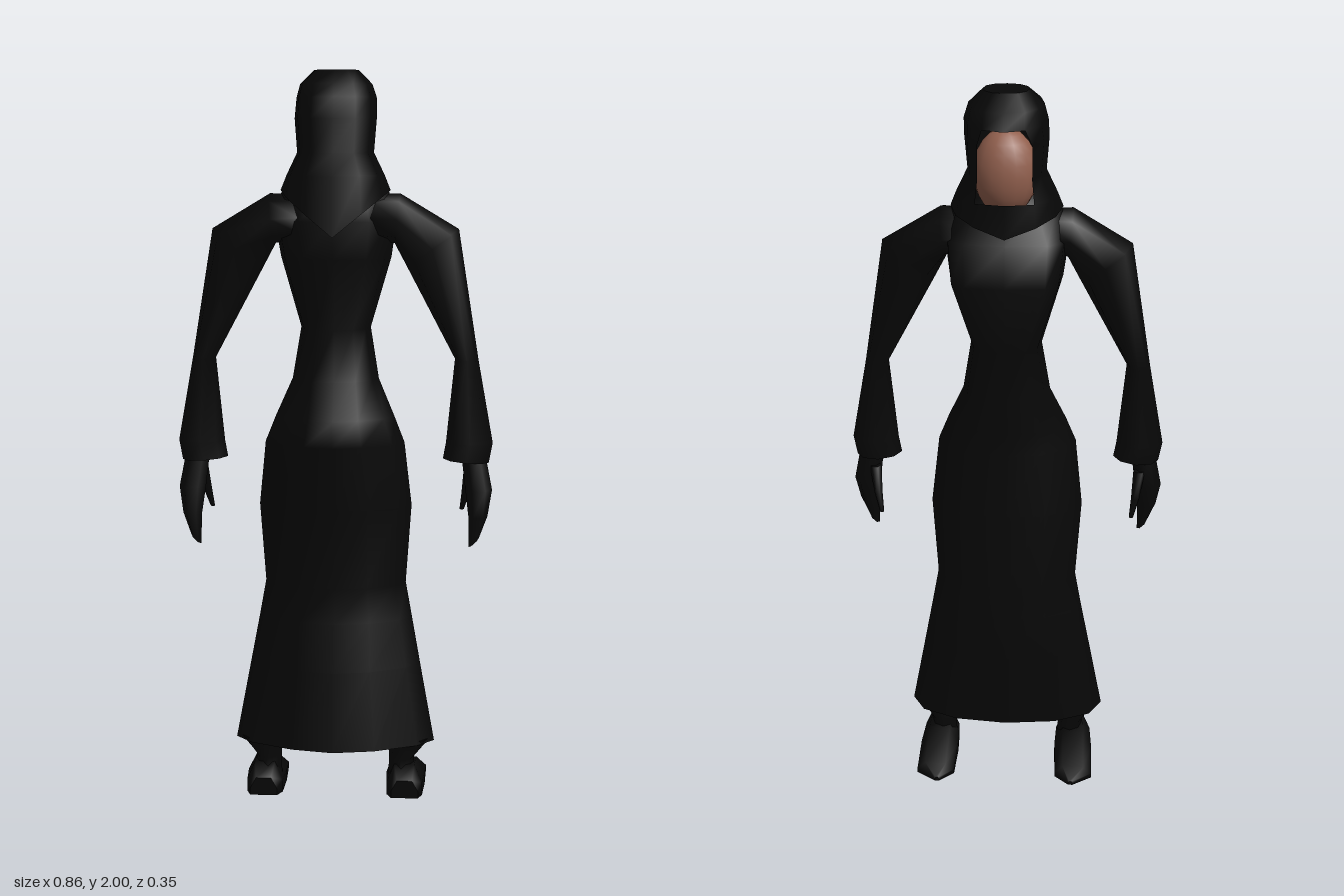
import * as THREE from 'three';

const black = new THREE.MeshStandardMaterial({ color: 0x070707, side: THREE.DoubleSide });
black.name = 'black cloth';
const skin = new THREE.MeshStandardMaterial({ color: 0x92604e });
skin.name = 'skin';

// Loop spanning inner to outer point (x, y) and z0 to z1; a power under 1 is
// boxy, over 1 is pointed, set apart for the rear (+z) and front (-z) halves
function ring(ix, iy, ox, oy, z0, z1, n = 8, rear = 1, front = rear) {
  return Array.from({ length: n }, (_, i) => {
    const a = (i / n) * Math.PI * 2;
    const bulge = (v) => Math.sign(v) * Math.abs(v) ** (i < n / 2 ? rear : front);
    const c = bulge(Math.cos(a)), s = bulge(Math.sin(a));
    return new THREE.Vector3(
      (ix + ox) / 2 + (c * (ox - ix)) / 2,
      (iy + oy) / 2 + (c * (oy - iy)) / 2,
      (z0 + z1) / 2 + (s * (z1 - z0)) / 2);
  });
}

// Skin a stack of loops from bottom to top; skip leaves openings
function loft(rings, { bottom = true, skip = () => false } = {}) {
  const n = rings[0].length, pts = rings.flat(), index = [];
  for (let r = 0; r < rings.length - 1; r++) {
    for (let i = 0; i < n; i++) {
      if (skip(r, i)) continue;
      const a = r * n + i, b = r * n + ((i + 1) % n);
      index.push(a, a + n, b, b, a + n, b + n);
    }
  }
  const cap = (loop, up) => {
    const start = pts.length;
    const mid = loop.reduce((m, p) => m.add(p), new THREE.Vector3()).divideScalar(n);
    pts.push(...loop, mid);
    for (let i = 0; i < n; i++) {
      const a = start + i, b = start + ((i + 1) % n);
      index.push(...(up ? [a, start + n, b] : [b, start + n, a]));
    }
  };
  if (bottom) cap(rings[0], false);
  cap(rings[rings.length - 1], true);
  const g = new THREE.BufferGeometry().setFromPoints(pts);
  g.setIndex(index);
  g.computeVertexNormals();
  return g;
}

// Mirror loops to the other side, keeping their turning direction
const sided = (rings, s) => (s > 0 ? rings
  : rings.map((loop) => loop.map((p) => new THREE.Vector3(-p.x, p.y, p.z)).reverse()));

export function createModel() {
  const model = new THREE.Group();
  model.name = 'robedFigure';
  const add = (name, geometry, material = black) => {
    const m = new THREE.Mesh(geometry, material);
    m.name = name;
    model.add(m);
  };
  const row = ([y, w, z0, z1, rear, front]) => ring(-w, y, w, y, z0, z1, 12, rear, front);

  // Robe: skirt, hips, waist, chest and neck
  // (y, half width, front z, back z, rear power, front power)
  add('robe', loft([
    [0.15, 0.278, -0.09, 0.165, 1.3, 0.95], [0.37, 0.237, -0.1, 0.145, 1.25, 0.95],
    [0.5, 0.213, -0.097, 0.115, 1.15, 0.95], [0.6, 0.195, -0.095, 0.112, 1.1, 0.95],
    [0.82, 0.21, -0.09, 0.125, 1.2, 0.95], [1.0, 0.19, -0.082, 0.172, 1.3, 0.95],
    [1.07, 0.162, -0.085, 0.16, 1.25, 0.9], [1.17, 0.118, -0.095, 0.115, 1, 0.85],
    [1.31, 0.095, -0.1, 0.095, 0.9, 0.8], [1.5, 0.15, -0.133, 0.117, 0.8, 0.5],
    [1.6, 0.165, -0.085, 0.125, 0.8, 0.6], [1.675, 0.145, -0.05, 0.11, 0.8, 0.8],
    [1.74, 0.06, -0.04, 0.08, 1, 1],
  ].map(row)));

  // Hood, open around the face, with a pointed brim and a V-shaped back
  const hood = [
    [1.68, 0.148, -0.12, 0.165, 1, 0.9], [1.72, 0.132, -0.117, 0.158, 0.9, 0.8],
    [1.78, 0.103, -0.1, 0.145, 0.9, 0.8], [1.87, 0.11, -0.108, 0.138, 0.9, 0.8],
    [1.925, 0.108, -0.173, 0.128, 0.9, 1], [1.96, 0.097, -0.125, 0.11, 0.9, 0.9],
    [1.997, 0.06, -0.07, 0.04, 0.9, 0.9],
  ].map(row);
  hood[0].forEach((p, i) => {
    p.y -= (i < 6 ? 0.12 : 0.05) * (1 - Math.abs(p.x) / 0.148);
  });
  for (const loop of [hood[2], hood[3]]) {
    loop[8].set(-0.07, loop[8].y, -0.094);
    loop[10].set(0.07, loop[10].y, -0.094);
  }
  add('hood', loft(hood, {
    bottom: false,
    skip: (r, i) => r >= 1 && r <= 3 && (i === 8 || i === 9),
  }));

  // Face inside the hood
  const face = new THREE.SphereGeometry(1, 16, 12);
  face.scale(0.084, 0.115, 0.072);
  face.translate(0, 1.79, -0.047);
  add('face', face, skin);

  for (const s of [1, -1]) {
    const side = s > 0 ? 'left' : 'right';
    const part = (name, rings) => add(side + name, loft(sided(rings, s)));

    // Sleeve from flared cuff to shoulder
    part('Sleeve', [
      ring(0.295, 0.955, 0.42, 0.945, -0.008, 0.09, 8, 1.1),
      ring(0.303, 1.0, 0.43, 1.0, -0.01, 0.09, 8, 1.1),
      ring(0.325, 1.23, 0.388, 1.23, 0, 0.088),
      ring(0.192, 1.48, 0.332, 1.578, -0.042, 0.108),
      ring(0.16, 1.54, 0.175, 1.672, -0.056, 0.128),
      ring(0.09, 1.55, 0.1, 1.67, -0.04, 0.11),
    ]);

    // Hand with curled fingers, and thumb
    part('Hand', [
      ring(0.368, 0.715, 0.395, 0.74, 0.055, 0.09, 6),
      ring(0.366, 0.8, 0.418, 0.8, 0.03, 0.095, 6),
      ring(0.357, 0.87, 0.43, 0.87, 0.008, 0.08, 6),
      ring(0.345, 0.97, 0.41, 0.97, 0.012, 0.068, 6),
    ]);
    part('Thumb', [
      ring(0.342, 0.8, 0.354, 0.8, -0.035, -0.022, 6),
      ring(0.347, 0.85, 0.37, 0.85, -0.025, 0.005, 6),
      ring(0.352, 0.92, 0.385, 0.92, 0.005, 0.04, 6),
    ]);

    // Ankle, widening into the hem
    part('Ankle', [
      ring(0.15, 0.04, 0.225, 0.04, -0.01, 0.085),
      ring(0.152, 0.1, 0.222, 0.1, -0.015, 0.075),
      ring(0.148, 0.16, 0.268, 0.16, -0.01, 0.09),
    ]);

    // Shoe: sections from toe to heel (z, inner x, outer x, height)
    part('Shoe', [
      [-0.175, 0.188, 0.2, 0.012], [-0.135, 0.147, 0.254, 0.034], [-0.02, 0.143, 0.252, 0.08],
      [0.07, 0.146, 0.246, 0.088], [0.1, 0.16, 0.235, 0.05],
    ].map(([z, a, b, h]) => {
      const inset = (b - a) * 0.22;
      return [[a, 0.4 * h], [a + inset, h], [b - inset, h], [b, 0.4 * h], [b, 0], [a, 0]]
        .map(([x, y]) => new THREE.Vector3(x, y, z));
    }));
  }
  return model;
}
